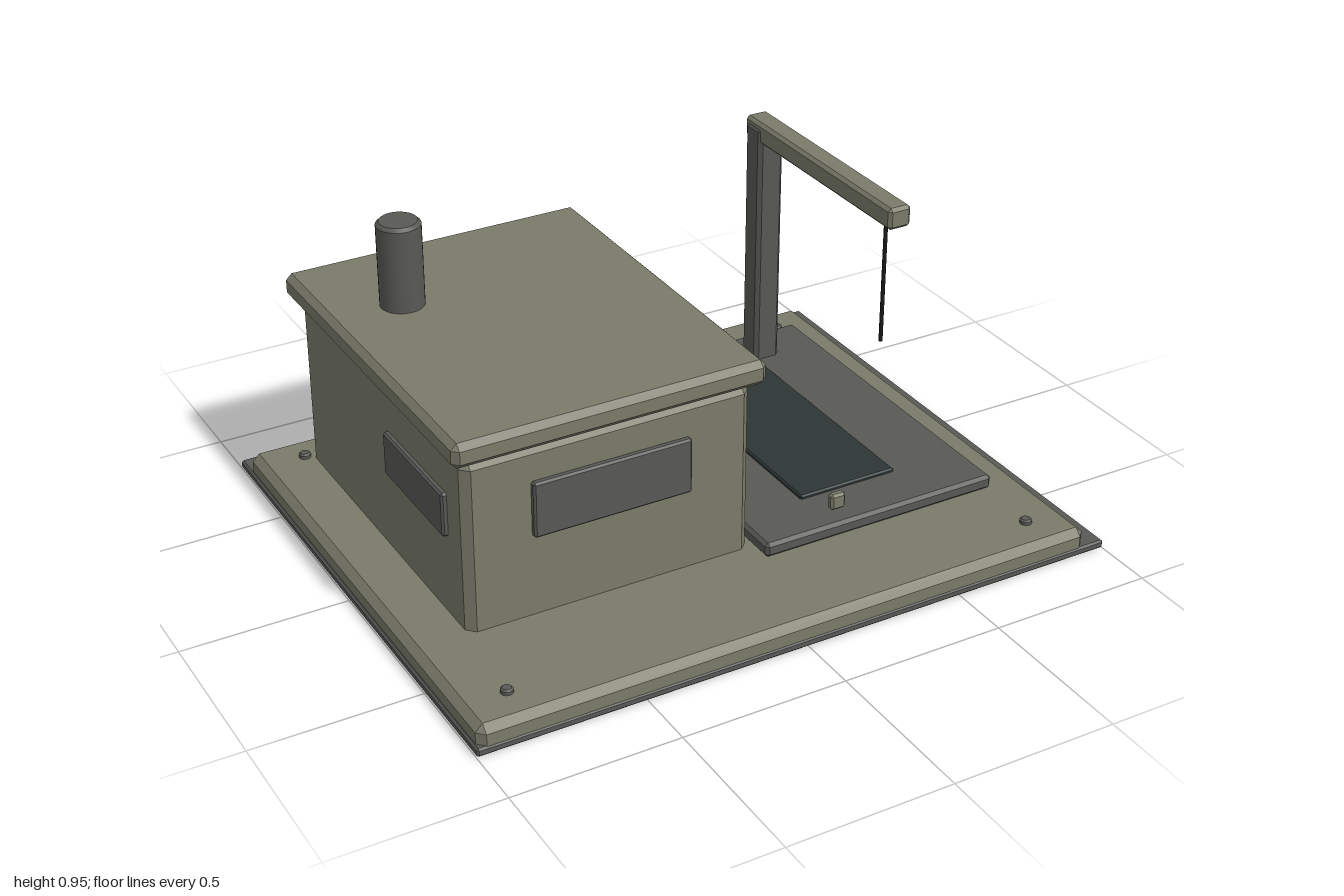
import * as THREE from 'three';
import { ConvexGeometry } from 'three/addons/geometries/ConvexGeometry.js';

function material(name, color) {
  const m = new THREE.MeshStandardMaterial({ color });
  m.name = name;
  return m;
}

// Box between two limits per axis, with all edges chamfered by c
function chamferBox([x0, x1], [y0, y1], [z0, z1], c) {
  const half = [(x1 - x0) / 2, (y1 - y0) / 2, (z1 - z0) / 2];
  const points = [];
  for (const sx of [-1, 1]) for (const sy of [-1, 1]) for (const sz of [-1, 1]) {
    for (let axis = 0; axis < 3; axis++) {
      const h = half.map((v, i) => (i === axis ? v : v - c));
      points.push(new THREE.Vector3(sx * h[0], sy * h[1], sz * h[2]));
    }
  }
  return new ConvexGeometry(points).translate((x0 + x1) / 2, (y0 + y1) / 2, (z0 + z1) / 2);
}

// Upright cylinder with a small chamfer around its top edge
function post(x, z, r, y0, y1, c, sides) {
  const profile = [[r, y0], [r, y1 - c], [r, y1 - c], [r - c, y1], [r - c, y1], [0, y1]];
  const g = new THREE.LatheGeometry(profile.map(p => new THREE.Vector2(...p)), sides);
  return g.translate(x, 0, z);
}

export function createModel() {
  const model = new THREE.Group();
  model.name = 'cabinWithHoist';
  const olive = material('olivePaint', 0x7a7b69);
  const grey = material('darkGrey', 0x585855);
  const teal = material('darkTeal', 0x2d3635);
  const black = material('cableBlack', 0x1a1a1a);

  const add = (name, geometry, mat) => {
    const mesh = new THREE.Mesh(geometry, mat);
    mesh.name = name;
    model.add(mesh);
  };
  const box = (name, mat, x, y, z, c) => add(name, chamferBox(x, y, z, c), mat);

  // Ground plate and raised slab set towards one corner
  box('groundPlate', grey, [-1, 1], [0.002, 0.028], [-0.822, 0.822], 0.006);
  box('baseSlab', olive, [-0.992, 0.937], [0, 0.085], [-0.76, 0.818], 0.022);

  // Bolts at the slab corners
  for (const x of [-0.856, 0.804]) for (const z of [-0.655, 0.705]) {
    add('bolt', post(x, z, 0.018, 0.08, 0.1, 0.005, 16), grey);
  }

  // Cabin
  box('cabinWalls', olive, [-0.83, 0.046], [0.055, 0.612], [-0.656, 0.425], 0.025);
  box('roof', olive, [-0.865, 0.08], [0.615, 0.69], [-0.69, 0.455], 0.018);
  box('frontWindow', grey, [-0.633, -0.15], [0.335, 0.505], [0.415, 0.443], 0.006);
  box('sideWindow', grey, [-0.846, -0.82], [0.337, 0.472], [-0.06, 0.32], 0.006);
  add('chimney', post(-0.645, -0.342, 0.065, 0.68, 0.95, 0.01, 32), grey);

  // Loading pad with its dark hatch
  box('loadingPad', grey, [0.056, 0.828], [0.085, 0.13], [-0.592, 0.504], 0.01);
  box('hatch', teal, [0.268, 0.59], [0.12, 0.141], [-0.442, 0.345], 0.005);
  box('controlBlock', olive, [0.256, 0.304], [0.19, 0.24], [0.497, 0.523], 0.007);

  // Hoist
  box('hoistPost', grey, [0.589, 0.676], [0.115, 0.922], [-0.519, -0.434], 0.012);
  box('hoistArm', olive, [0.595, 0.67], [0.87, 0.937], [-0.53, 0.256], 0.01);
  add('hoistCable', new THREE.CylinderGeometry(0.006, 0.006, 0.4, 12).translate(0.632, 0.68, 0.186), black);

  return model;
}
